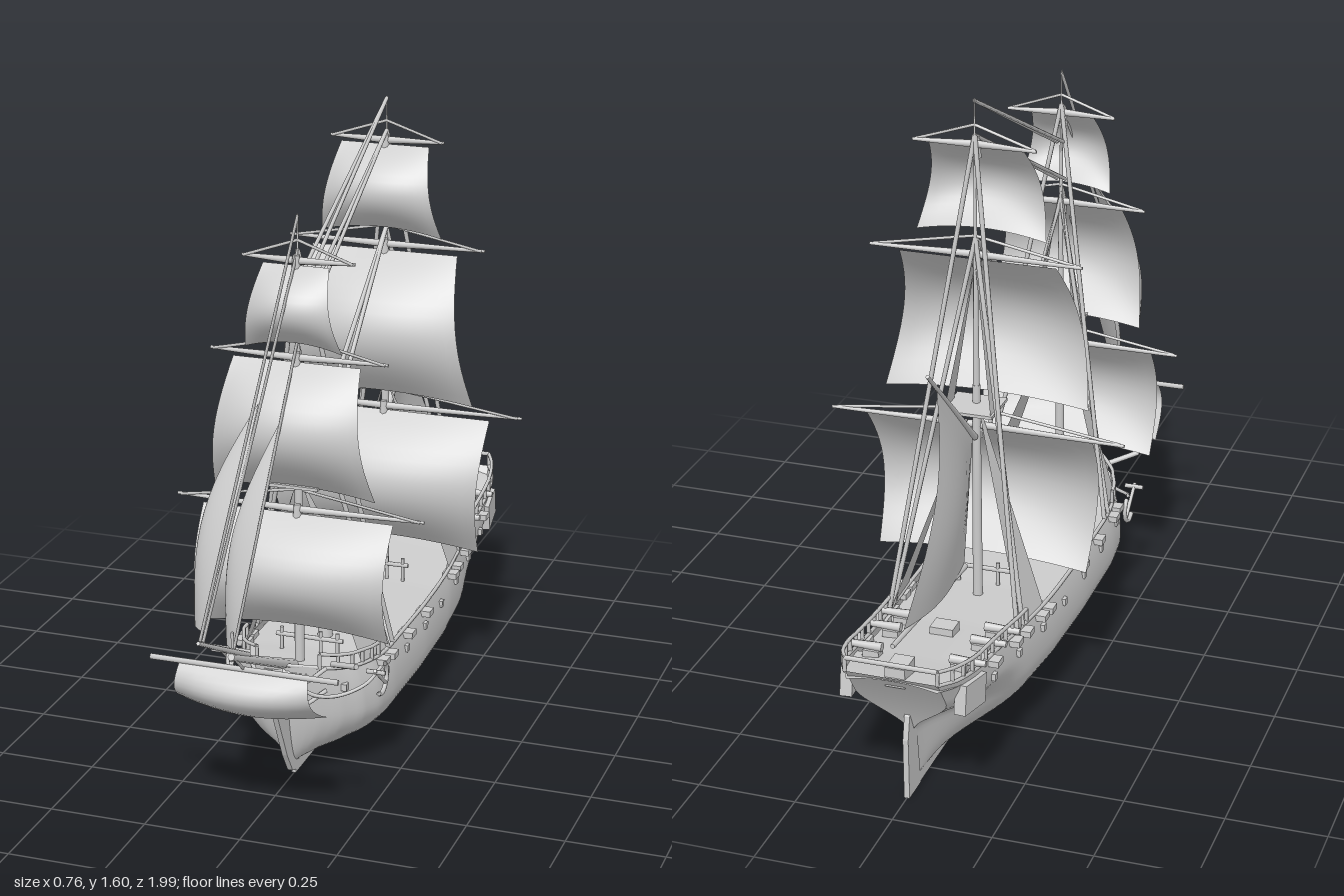
import * as THREE from 'three';

const mat = new THREE.MeshStandardMaterial({ color: 0xcccccc, side: THREE.DoubleSide });
const V = (x, y, z) => new THREE.Vector3(x, y, z);
const { lerp, smoothstep, clamp } = THREE.MathUtils;

function add(parent, name, geo) {
  const m = new THREE.Mesh(geo, mat);
  m.name = name;
  parent.add(m);
  return m;
}

function group(parent, name) {
  const g = new THREE.Group();
  g.name = name;
  parent.add(g);
  return g;
}

// Sheet whose vertices follow fn(u, v), with u and v in 0..1
function sheet(fn, nu, nv) {
  const g = new THREE.PlaneGeometry(1, 1, nu, nv), p = g.attributes.position;
  for (let i = 0; i < p.count; i++) p.setXYZ(i, ...fn(p.getX(i) + 0.5, p.getY(i) + 0.5));
  g.computeVertexNormals();
  return g;
}

// Tapered round bar from a to b
function rod(parent, name, a, b, r0, r1 = r0, sides = 6) {
  const m = add(parent, name, new THREE.CylinderGeometry(r1, r0, a.distanceTo(b), sides));
  m.position.copy(a).add(b).multiplyScalar(0.5);
  m.quaternion.setFromUnitVectors(V(0, 1, 0), b.clone().sub(a).normalize());
  return m;
}

function box(parent, name, w, h, d, x, y, z) {
  const m = add(parent, name, new THREE.BoxGeometry(w, h, d));
  m.position.set(x, y, z);
  return m;
}

const tube = (parent, name, pts, r, n = 40) =>
  add(parent, name, new THREE.TubeGeometry(new THREE.CatmullRomCurve3(pts), n, r, 6));

// Flat plate drawn in the z-y plane
function plate(parent, name, pts, t) {
  const s = new THREE.Shape(pts.map(p => new THREE.Vector2(...p)));
  const g = new THREE.ExtrudeGeometry(s, { depth: t, bevelEnabled: false });
  return add(parent, name, g.translate(0, 0, -t / 2).rotateY(-Math.PI / 2));
}

// Linear lookup in a short table of [key, value]
function table(t, k) {
  let i = 1;
  while (i < t.length - 1 && k > t[i][0]) i++;
  const [a, b] = [t[i - 1], t[i]];
  return lerp(a[1], b[1], clamp((k - a[0]) / (b[0] - a[0]), 0, 1));
}
const breadth = [[0, .115], [.04, .143], [.1, .16], [.25, .178], [.42, .197], [.6, .205], [.8, .203], [.87, .195],
  [.92, .17], [.96, .125], [.985, .07], [1, 0]];
const sheer = [[-.99, .378], [-.8, .34], [-.55, .307], [-.3, .29], [.2, .29], [.35, .305], [.45, .335]];

// Hull surface: u from stern to bow, v from keel to rail
function hullPoint(u, v) {
  const z = lerp(-.83 - .16 * v * v, .36 + .08 * Math.sqrt(v), u);
  const top = table(sheer, z), y = lerp(.025, top, v);
  const q = 1 - Math.min(v / .57, 1);
  let s = Math.pow(1 - q * q, .66);
  if (v > .6) s *= 1 - .09 * ((v - .6) / .4) ** 2;
  s = lerp(s, .04 + .96 * smoothstep(v, .42, .8), smoothstep(.3 - u, 0, .3) ** 1.3);
  s = Math.pow(s, 1 + .8 * smoothstep(u, .8, 1));
  return [table(breadth, u) * s, y, z];
}
const uAt = z => clamp((z + .99) / 1.43, 0, 1);
const railAt = (z, side, dy = 0) => {
  const [x, y] = hullPoint(uAt(z), 1);
  return V(side * x, y + dy, z);
};

function buildHull(ship) {
  const g = group(ship, 'hull');
  add(g, 'planking', sheet((u, t) => {
    const s = t * 2 - 1, [x, y, z] = hullPoint(1 - (1 - u) ** 1.3, Math.abs(s) ** 1.3);
    return [Math.sign(s) * x, y, z];
  }, 70, 48));
  add(g, 'transom', sheet((u, v) => {
    const [x, y, z] = hullPoint(0, v);
    return [x * (u * 2 - 1), y, z];
  }, 8, 24));
  add(g, 'deck', sheet((u, t) => {
    const [x, y, z] = hullPoint(u, 1), s = t * 2 - 1;
    return [x * s * .98, y - .02 + .012 * (1 - s * s), z];
  }, 60, 10));
  box(g, 'keel', .012, .03, 1.25, 0, .017, -.26);
  plate(g, 'cutwater', [[.34, .005], [.39, .02], [.43, .08], [.5, .22], [.56, .345], [.54, .355], [.42, .29], [.36, .1]], .014);
  plate(g, 'rudder', [[-.82, 0], [-.9, 0], [-.903, .16], [-.89, .22], [-.87, .25], [-.84, .15]], .014);
  for (const s of [-1, 1]) {
    const line = [];
    for (let i = 0; i <= 24; i++) {
      const [x, y, z] = hullPoint(i / 24, 1);
      line.push(V(s * x, y, z));
    }
    tube(g, 'gunwale', line, .005, 70);
    // Gun ports and channel blocks along the side
    for (let i = 0; i < 8; i++) {
      const z = .36 - i * .156, [x, y] = hullPoint(uAt(z), .83);
      box(g, 'gunPort', .014, .018, .018, s * x, y, z);
    }
    for (const z of [.22, .17, .03, -.12, -.38, -.43, -.53, -.6, -.74]) {
      const p = railAt(z, s, -.012);
      box(g, 'channel', .04, .016, .035, p.x + s * .008, p.y, z);
    }
    // Quarter gallery and head rails
    const q = box(g, 'quarterGallery', .03, .075, .11, s * .15, .295, -.86);
    q.rotation.set(.15, s * .12, 0);
    for (const y of [.24, .3]) tube(g, 'headRail', [V(s * .1, y + .02, .4), V(s * .06, y, .46), V(s * .01, y + .045, .545)], .006, 16);
    rod(g, 'cathead', V(s * .11, .325, .38), V(s * .19, .35, .43), .008);
    // Anchor with its hanging cable
    const a = group(g, 'anchor');
    a.position.set(s * .208, .265, .29);
    a.rotation.x = .9;
    rod(a, 'shank', V(0, -.05, 0), V(0, .06, 0), .005);
    rod(a, 'stock', V(-.025, .05, 0), V(.025, .05, 0), .006);
    add(a, 'flukes', new THREE.TorusGeometry(.04, .006, 6, 14, Math.PI).rotateZ(Math.PI).rotateY(Math.PI / 2)).position.y = -.01;
    tube(g, 'anchorCable', [V(s * .04, .29, .45), V(s * .08, .26, .435), V(s * .13, .25, .4), V(s * .185, .265, .34), V(s * .205, .29, .28)], .005);
  }
}

function buildDeckFittings(ship) {
  const g = group(ship, 'deckFittings');
  for (const s of [-1, 1]) {
    // Stern and bow railings on posts
    for (const [z0, z1, n] of [[-.5, -.99, 11], [.22, .4, 5]]) {
      const tops = [];
      for (let i = 0; i <= n; i++) {
        const z = lerp(z0, z1, i / n), p = railAt(z, s), t = railAt(z, s, .036);
        rod(g, 'railPost', p, t, .005);
        tops.push(t);
      }
      tube(g, 'handRail', tops, .005);
    }
    // Guns beside the rail
    for (const z of [-.82, -.68, -.59]) {
      const p = railAt(z, s);
      rod(g, 'gunBarrel', V(p.x - s * .07, p.y + .012, z), V(p.x + s * .02, p.y + .012, z), .012, .008, 8);
      box(g, 'gunCarriage', .04, .018, .03, p.x - s * .045, p.y - .004, z);
    }
    // Pin rails beside the masts
    for (const z of [-.3, .24]) for (const x of [.03, .075]) rod(g, 'pinRailPost', V(s * x, .27, z), V(s * x, .345, z), .005);
  }
  const [w, y] = hullPoint(0, 1);
  rod(g, 'taffrail', V(-w, y + .036, -.99), V(w, y + .036, -.99), .006);
  for (const z of [-.3, .24]) rod(g, 'pinRail', V(-.09, .325, z), V(.09, .325, z), .006);
  box(g, 'skylight', .06, .03, .05, 0, .315, -.62);
  box(g, 'sternLocker', .05, .05, .07, 0, .365, -.93);
  rod(g, 'capstan', V(0, .28, .12), V(0, .33, .12), .02, .016, 10);
}

// Bellied square sail with its yard and lifts:
// [yard y, yard half length, top y, foot y, top half, foot half, forward drift of the foot]
function squareSail(parent, z, [yy, yl, yt, yb, wt, wb, drift = .02]) {
  const g = group(parent, 'squareSail');
  const full = .28 * (yt - yb) + .02;
  add(g, 'canvas', sheet((a, v) => {
    const s = a * 2 - 1, d = 1 - v, arc = Math.sin(Math.PI * d ** .95);
    return [s * lerp(wt, wb, d), lerp(yt, yb, d) + .02 * d * d * (1 - s * s),
      z + .012 + drift * d + full * arc * (.62 + .33 * (1 - s * s))];
  }, 16, 14));
  for (const s of [-1, 1]) {
    rod(g, 'yard', V(0, yy, z + .008), V(s * yl, yy, z - .004), .01, .004, 8);
    rod(g, 'lift', V(s * yl * .97, yy, z), V(0, yy + .05, z), .004, .004, 5);
  }
  rod(g, 'yardBlock', V(0, yy - .035, z + .012), V(0, yy + .015, z + .012), .013, .009, 8);
}

// Mast with top platform, shroud webs, backstays and three square sails
function buildMast(ship, name, z, height, topY, sails) {
  const g = group(ship, name);
  rod(g, 'lowerMast', V(0, .2, z), V(0, topY + .05, z), .013, .01, 10);
  rod(g, 'upperMast', V(0, topY, z), V(0, height, z), .009, .002, 8);
  box(g, 'topPlatform', .13, .008, .12, 0, topY, z - .015);
  const web = (label, apex, base0, base1) => add(g, label, sheet((u, v) =>
    base0.clone().lerp(base1, u).lerp(apex, v * .98).toArray(), 1, 1));
  for (const s of [-1, 1]) {
    web('lowerShrouds', V(0, topY + .02, z), railAt(z - .02, s), railAt(z - .17, s));
    web('upperShrouds', V(0, topY + .37, z - .003), V(s * .06, topY, z + .005), V(s * .06, topY, z - .07));
    rod(g, 'backstay', railAt(z - .19, s), V(0, height - .09, z), .006);
    rod(g, 'backstay', railAt(z - .155, s), V(0, height - .35, z), .006);
  }
  for (const row of sails) squareSail(g, z, row);
}

// Triangular or four-cornered fore-and-aft sail with bulge and hollow leech
function foreAftSail(parent, name, head, headAft, tack, clew, bulge, hollow) {
  return add(parent, name, sheet((u, v) => {
    const p = tack.clone().lerp(clew, u).lerp(head.clone().lerp(headAft, u), v);
    p.x -= bulge * (Math.sin(Math.PI * v) * Math.sin(Math.PI * .75 * u) + .5 * (1 - v) * Math.sin(Math.PI * u));
    p.z += hollow * u * Math.sin(Math.PI * v);
    p.y -= .015 * Math.sin(Math.PI * u) * (1 - v);
    return p.toArray();
  }, 10, 14));
}

export function createModel() {
  const ship = new THREE.Group();
  ship.name = 'sailingShip';
  buildHull(ship);
  buildDeckFittings(ship);

  buildMast(ship, 'foreMast', .315, 1.46, .775, [
    [.705, .325, .695, .385, .25, .245], [1.1, .23, 1.09, .755, .165, .21], [1.345, .145, 1.335, 1.125, .085, .125]]);
  buildMast(ship, 'mainMast', -.37, 1.6, .815, [
    [.755, .38, .745, .375, .295, .275], [1.205, .27, 1.19, .8, .2, .265, .06], [1.485, .155, 1.475, 1.24, .12, .165, .03]]);

  // Bowsprit with its own small square sail
  const bow = group(ship, 'bowsprit');
  rod(bow, 'bowspritSpar', V(0, .3, .36), V(0, .5, .79), .014, .009, 8);
  rod(bow, 'jibBoom', V(0, .46, .68), V(0, .62, .995), .008, .005, 8);
  rod(bow, 'jackStaff', V(0, .49, .78), V(0, .56, .78), .004);
  rod(bow, 'bobstay', V(0, .25, .5), V(0, .48, .76), .004);
  rod(bow, 'spritYard', V(-.24, .435, .71), V(.24, .435, .71), .007);
  add(bow, 'spritSail', sheet((a, v) => {
    const s = a * 2 - 1, d = 1 - v;
    return [s * lerp(.165, .185, d), lerp(.43, .3, d),
      .715 - d * d * (.03 + .06 * s * s) + .05 * Math.sin(Math.PI * d) * (1 - .4 * s * s)];
  }, 12, 10));

  // Stays between the masts, and flat ones down to the bowsprit
  const rig = group(ship, 'stays');
  for (const s of [-1, 1]) {
    const x = s * .012;
    rod(rig, 'mainStay', V(0, 1.595, -.37), V(x, 1.265, .315), .005);
    rod(rig, 'mainStay', V(0, 1.51, -.37), V(x, 1.165, .315), .005);
    rod(rig, 'mainStay', V(0, 1.25, -.37), V(s * .02, .73, .25), .006);
  }
  for (const [y0, y1, z1] of [[1.455, .62, .985], [1.37, .61, .965], [1.15, .5, .78]])
    rod(rig, 'foreStay', V(0, y0, .315), V(0, y1, z1), .009).scale.x = .3;

  // Jibs and the gaff sail
  const outer = V(0, 1.07, .59), inner = V(0, .975, .445);
  foreAftSail(ship, 'outerJib', outer, outer, V(0, .625, .945), V(-.095, .595, .73), .05, .03);
  foreAftSail(ship, 'innerJib', inner, inner, V(0, .505, .76), V(-.095, .465, .54), .04, .05);
  foreAftSail(ship, 'gaffSail', V(0, .74, -.4), V(0, .975, -.655), V(0, .425, -.47), V(0, .46, -.9), .03, .05);
  rod(ship, 'gaff', V(0, .73, -.385), V(0, 1.03, -.715), .009, .005);
  rod(ship, 'boom', V(0, .415, -.47), V(0, .455, -.975), .009, .006);
  return ship;
}
